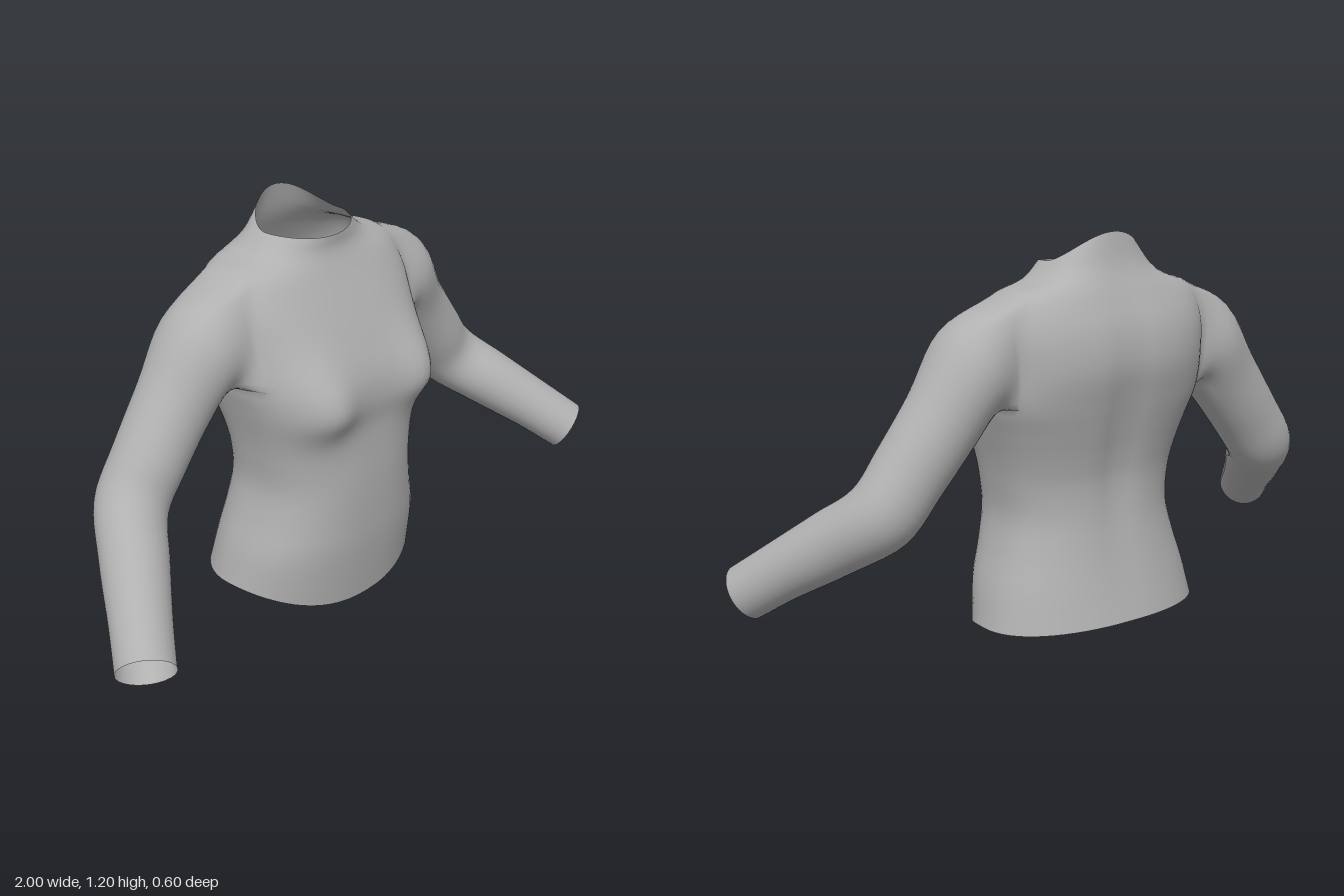
import * as THREE from 'three';

const N = 64;            // columns around the body
const SUB = 4;           // rows between key rings
const V = (x, y, z) => new THREE.Vector3(x, y, z);
const bump = (d, s) => Math.exp(-(d * d) / (s * s));

// Body key rings: y front, y side, y back, half width, z front, z side, z back, roundness
const BODY = [
  [0.00, 0.09, 0.10, 0.355, 0.178, -0.06, -0.288, 0.90],
  [0.18, 0.20, 0.20, 0.330, 0.200, -0.04, -0.262, 0.85],
  [0.29, 0.30, 0.30, 0.297, 0.206, -0.03, -0.240, 0.82],
  [0.40, 0.40, 0.40, 0.275, 0.208, -0.02, -0.225, 0.80],
  [0.50, 0.50, 0.50, 0.284, 0.205, -0.02, -0.222, 0.78],
  [0.58, 0.58, 0.58, 0.300, 0.204, -0.03, -0.235, 0.76],
  [0.66, 0.66, 0.66, 0.322, 0.212, -0.05, -0.255, 0.75],
  [0.74, 0.74, 0.74, 0.343, 0.200, -0.08, -0.275, 0.75],
  [0.84, 0.84, 0.84, 0.348, 0.155, -0.08, -0.295, 0.75],
  [0.93, 0.95, 0.94, 0.345, 0.108, -0.09, -0.285, 0.75],
  [1.00, 1.035, 1.03, 0.310, 0.070, -0.10, -0.250, 0.80],
  [1.06, 1.07, 1.11, 0.210, 0.042, -0.09, -0.215, 0.90],
  [1.105, 1.12, 1.20, 0.150, 0.040, -0.08, -0.195, 1.00],
];

// Sleeve key rings: centre, direction, radius
const SLEEVE = [
  [V(0.415, 0.84, -0.09), V(0.92, -0.40, 0), 0.135],
  [V(0.50, 0.725, -0.095), V(0.70, -0.71, 0), 0.112],
  [V(0.60, 0.595, -0.09), V(0.63, -0.77, 0.05), 0.105],
  [V(0.685, 0.485, -0.075), V(0.60, -0.68, 0.35), 0.102],
  [V(0.77, 0.40, 0.03), V(0.52, -0.52, 0.67), 0.094],
  [V(0.86, 0.31, 0.15), V(0.52, -0.52, 0.67), 0.084],
  [V(0.93, 0.235, 0.245), V(0.52, -0.52, 0.67), 0.080],
];

// Armhole: rows and columns left out of the body on each side
const R0 = 7 * SUB, R1 = 10 * SUB, K0 = N / 4 - 5, K1 = N / 4 + 5;

function bodyRing([yf, ys, yb, w, zf, zc, zb, p]) {
  return Array.from({ length: N }, (_, k) => {
    const a = (k / N) * Math.PI * 2, s = Math.sin(a), c = Math.cos(a);
    const depth = Math.pow(Math.abs(c), p);
    return V(
      w * Math.sign(s) * Math.pow(Math.abs(s), p),
      ys + ((c > 0 ? yf : yb) - ys) * c * c,
      zc + ((c > 0 ? zf : zb) - zc) * depth);
  });
}

// Runs a smooth curve through matching points of the key rings
function loft(rings, sub) {
  const steps = (rings.length - 1) * sub;
  const columns = rings[0].map((_, i) =>
    new THREE.CatmullRomCurve3(rings.map(r => r[i]), false, 'catmullrom', 0.5).getPoints(steps));
  return Array.from({ length: steps + 1 }, (_, j) => columns.map(col => col[j]));
}

// Bust and spine groove
function sculpt(p) {
  if (p.z > 0) {
    const dy = p.y - 0.67;
    p.z += 0.052 * bump(Math.abs(p.x) - 0.2, 0.095) * bump(dy, dy < 0 ? 0.09 : 0.13);
  } else if (p.z < -0.15) {
    p.z += 0.018 * bump(p.x, 0.05) * bump(p.y - 0.65, 0.33);
  }
}

function armholeLoop() {
  const loop = [];
  for (let k = K0; k < K1; k++) loop.push([R0, k]);
  for (let r = R0; r < R1; r++) loop.push([r, K1]);
  for (let k = K1; k > K0; k--) loop.push([R1, k]);
  for (let r = R1; r > R0; r--) loop.push([r, K0]);
  return loop;
}

export function createModel() {
  const group = new THREE.Group();
  group.name = 'longSleeveTop';
  const cloth = new THREE.MeshStandardMaterial({ color: 0xb0b0b0, side: THREE.DoubleSide });
  cloth.name = 'grey cloth';

  const positions = [];
  const add = (p, side = 1) => positions.push(p.x * side, p.y, p.z) / 3 - 1;
  const quad = (index, a, b, c, d, flip) =>
    flip ? index.push(a, c, b, a, d, c) : index.push(a, b, c, a, c, d);

  // Body, open at hem, neck and armholes
  const rows = loft(BODY.map(bodyRing), SUB);
  rows.flat().forEach(sculpt);
  const ids = rows.map(row => row.map(p => add(p)));
  const bodyIndex = [];
  const inHole = (r, k) => r >= R0 && r < R1 && k >= K0 && k < K1;
  for (let r = 0; r < rows.length - 1; r++) {
    for (let k = 0; k < N; k++) {
      if (inHole(r, k) || inHole(r, N - 1 - k)) continue;
      const n = (k + 1) % N;
      quad(bodyIndex, ids[r][k], ids[r][n], ids[r + 1][n], ids[r + 1][k]);
    }
  }

  // Sleeve rings start on the armhole edge and turn into circles
  const loop = armholeLoop();
  const edge = loop.map(([r, k]) => rows[r][k]);
  const mid = edge.reduce((m, p) => m.add(p), V(0, 0, 0)).divideScalar(edge.length);
  const angles = edge.map(p => Math.atan2(p.y - mid.y, p.z - mid.z));
  const rings = SLEEVE.map(([centre, dir, radius]) => {
    const n = dir.clone().normalize();
    const v = V(0, 0, 1).addScaledVector(n, -n.z).normalize();
    const u = v.clone().cross(n);
    return angles.map(a => centre.clone()
      .addScaledVector(v, radius * Math.cos(a))
      .addScaledVector(u, radius * Math.sin(a)));
  });
  const sleeve = loft([edge, ...rings], 5);

  const sleeveIndex = side => {
    const index = [];
    let last = loop.map(([r, k]) => ids[r][side > 0 ? k : N - k]);
    for (const ring of sleeve.slice(1)) {
      const next = ring.map(p => add(p, side));
      next.forEach((_, i) => {
        const j = (i + 1) % next.length;
        quad(index, last[i], last[j], next[j], next[i], side < 0);
      });
      last = next;
    }
    return index;
  };
  const parts = { body: bodyIndex, leftSleeve: sleeveIndex(1), rightSleeve: sleeveIndex(-1) };

  // Normals are shared so the seams stay smooth
  const whole = new THREE.BufferGeometry();
  whole.setAttribute('position', new THREE.Float32BufferAttribute(positions, 3));
  whole.setIndex(Object.values(parts).flat());
  whole.computeVertexNormals();
  for (const [name, index] of Object.entries(parts)) {
    const geometry = new THREE.BufferGeometry();
    geometry.setAttribute('position', whole.getAttribute('position'));
    geometry.setAttribute('normal', whole.getAttribute('normal'));
    geometry.setIndex(index);
    const mesh = new THREE.Mesh(geometry, cloth);
    mesh.name = name;
    group.add(mesh);
  }
  return group;
}
